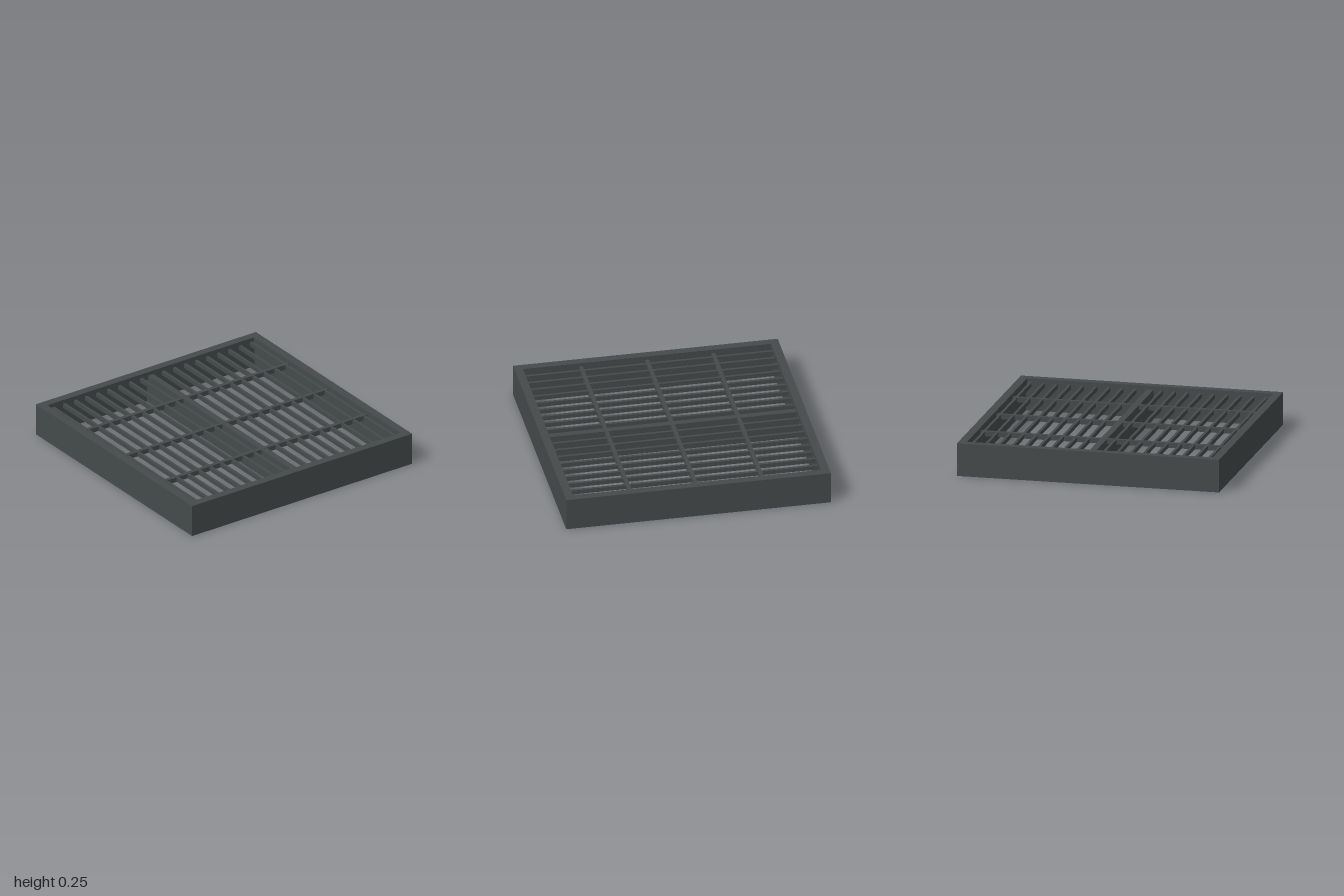
import * as THREE from 'three';

export function createModel() {
  const model = new THREE.Group();
  model.name = 'floorGrate';
  const steel = new THREE.MeshStandardMaterial({ color: 0x454a4a });
  steel.name = 'darkSteel';

  // box given by its extents on each axis
  const bar = (name, [x0, x1], [y0, y1], [z0, z1]) => {
    const mesh = new THREE.Mesh(new THREE.BoxGeometry(x1 - x0, y1 - y0, z1 - z0), steel);
    mesh.position.set((x0 + x1) / 2, (y0 + y1) / 2, (z0 + z1) / 2);
    mesh.name = name;
    model.add(mesh);
  };

  // square ring with a square opening, raised from y0 to y1
  const ring = (name, inner, y0, y1) => {
    const square = (Type, r) => new Type().moveTo(-r, -r).lineTo(r, -r).lineTo(r, r).lineTo(-r, r).closePath();
    const shape = square(THREE.Shape, 1);
    shape.holes.push(square(THREE.Path, inner));
    const geometry = new THREE.ExtrudeGeometry(shape, { depth: y1 - y0, bevelEnabled: false });
    geometry.rotateX(-Math.PI / 2).translate(0, y0, 0);
    const mesh = new THREE.Mesh(geometry, steel);
    mesh.name = name;
    model.add(mesh);
  };

  // outer frame: wider rim on top of a skirt
  const inside = 0.9375;
  ring('topRim', inside, 0.1875, 0.25);
  ring('skirt', 0.95, 0, 0.1875);

  // deep centre beam
  bar('centreBeam', [-0.025, 0.025], [0, 0.22], [-0.95, 0.95]);

  // long grating bars; the one inside the beam is left out
  for (let i = 0; i < 19; i++) {
    if (i === 9) continue;
    const x = -0.887 + i * 0.1;
    bar('gratingBar', [x - 0.0105, x + 0.0105], [0.1875, 0.22], [-0.945, 0.945]);
  }

  // cross bars tying the grating together
  for (const z of [-0.5, 0, 0.5]) {
    bar('crossBar', [-0.945, 0.945], [0.185, 0.222], [z - 0.015, z + 0.015]);
  }

  return model;
}
